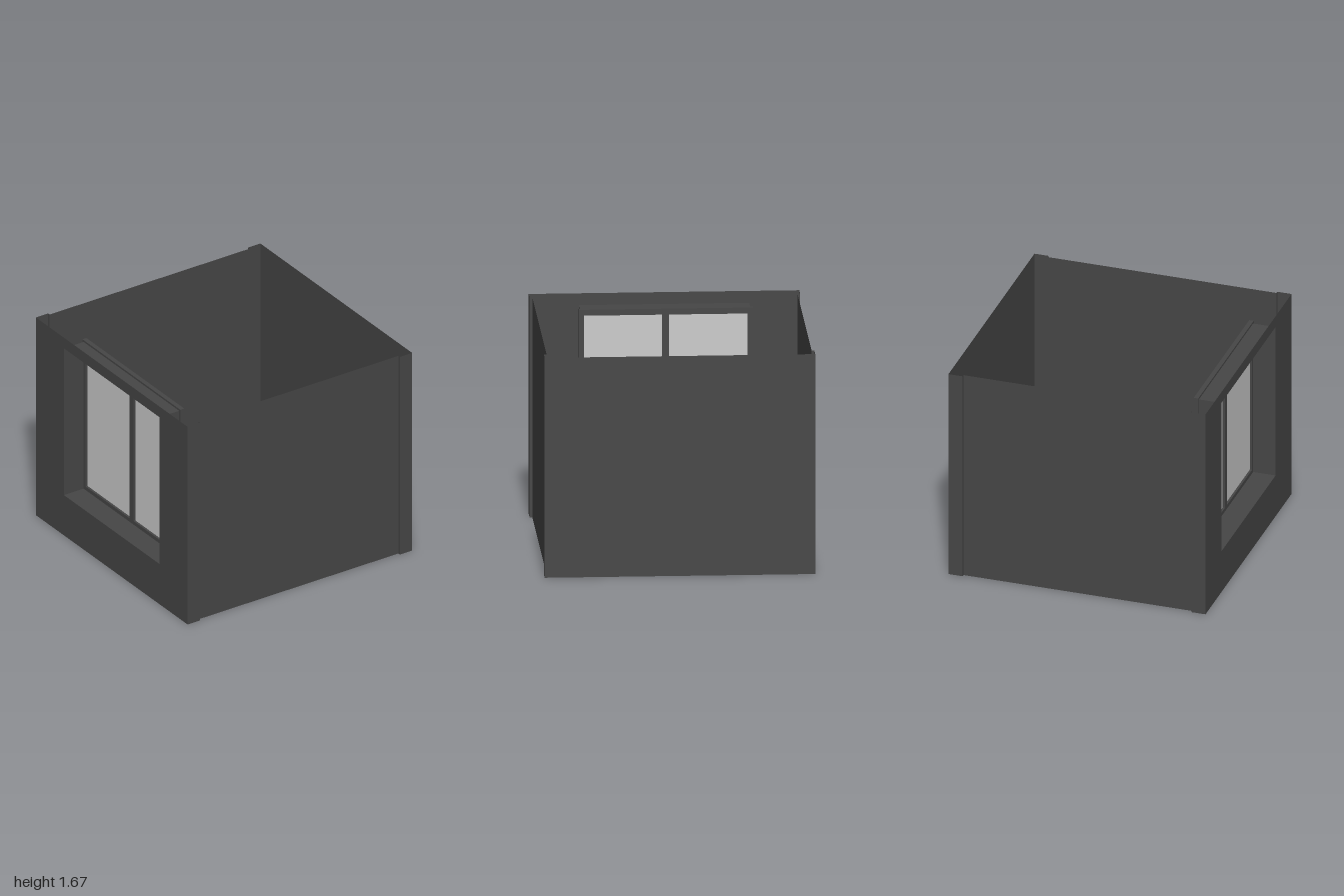
import * as THREE from 'three';

const H = 1.67;        // wall height
const STEP = 0.02;     // inset of the front and back walls
const POST = 0.89;     // where the corner strips end
const OPEN = { z: 0.63, y0: 0.34, y1: 1.58 };  // window opening
const LIP = 0.015;     // overlap of the frame around the opening

const dark = new THREE.MeshStandardMaterial({ color: 0x464646, side: THREE.DoubleSide });
const pale = new THREE.MeshStandardMaterial({ color: 0xcccccc, side: THREE.DoubleSide });

// Upright flat-shaded sheet that follows a list of [x, z] points
function ribbon(points, height) {
  const pos = [];
  for (let i = 0; i < points.length - 1; i++) {
    const [ax, az] = points[i], [bx, bz] = points[i + 1];
    pos.push(ax, 0, az, bx, 0, bz, bx, height, bz);
    pos.push(ax, 0, az, bx, height, bz, ax, height, az);
  }
  const g = new THREE.BufferGeometry();
  g.setAttribute('position', new THREE.Float32BufferAttribute(pos, 3));
  g.computeVertexNormals();
  return g;
}

// Rectangle outline, horizontal axis = world z after turning
function rect(z0, z1, y0, y1, Type = THREE.Shape) {
  const p = new Type();
  p.moveTo(z0, y0);
  p.lineTo(z1, y0);
  p.lineTo(z1, y1);
  p.lineTo(z0, y1);
  p.closePath();
  return p;
}

export function createModel() {
  const model = new THREE.Group();
  const add = (name, geometry, material = dark, parent = model) => {
    const m = new THREE.Mesh(geometry, material);
    m.name = name;
    parent.add(m);
    return m;
  };

  // Front and back walls: corner strips with an inset middle panel
  const profile = [[-1, 1], [-POST, 1], [-POST, 1 - STEP], [POST, 1 - STEP], [POST, 1], [1, 1]];
  add('frontWall', ribbon(profile, H));
  add('backWall', ribbon(profile.map(([x, z]) => [-x, -z]), H));

  // Plain side wall
  add('leftWall', ribbon([[1, 1], [1, -1]], H));

  // Side wall with the window opening
  const wall = rect(-1, 1, 0, H);
  wall.holes.push(rect(-OPEN.z, OPEN.z, OPEN.y0, OPEN.y1, THREE.Path));
  add('windowWall', new THREE.ShapeGeometry(wall).rotateY(-Math.PI / 2)).position.x = -1;

  const windowUnit = new THREE.Group();
  windowUnit.name = 'window';
  model.add(windowUnit);

  // Deep lining of the opening
  const { z, y0, y1 } = OPEN;
  const loop = [[y0, z], [y0, -z], [y1, -z], [y1, z], [y0, z]];
  add('windowReveal', ribbon(loop, 0.175).rotateZ(Math.PI / 2), dark, windowUnit).position.x = -0.825;

  // Frame with two lights and a centre mullion
  const lights = [[-0.605, -0.026], [0.026, 0.605]];
  const g0 = y0 + 0.03, g1 = y1 - 0.03;
  const frame = rect(-z - LIP, z + LIP, y0 - LIP, y1 + LIP);
  lights.forEach(([a, b]) => frame.holes.push(rect(a, b, g0, g1, THREE.Path)));
  const frameGeo = new THREE.ExtrudeGeometry(frame, { depth: 0.035, bevelEnabled: false });
  add('windowFrame', frameGeo.rotateY(-Math.PI / 2), dark, windowUnit).position.x = -0.79;

  // Panes
  lights.forEach(([a, b]) => {
    const pane = new THREE.PlaneGeometry(b - a, g1 - g0).rotateY(-Math.PI / 2);
    add('windowPane', pane, pale, windowUnit).position.set(-0.808, (g0 + g1) / 2, (a + b) / 2);
  });

  return model;
}
